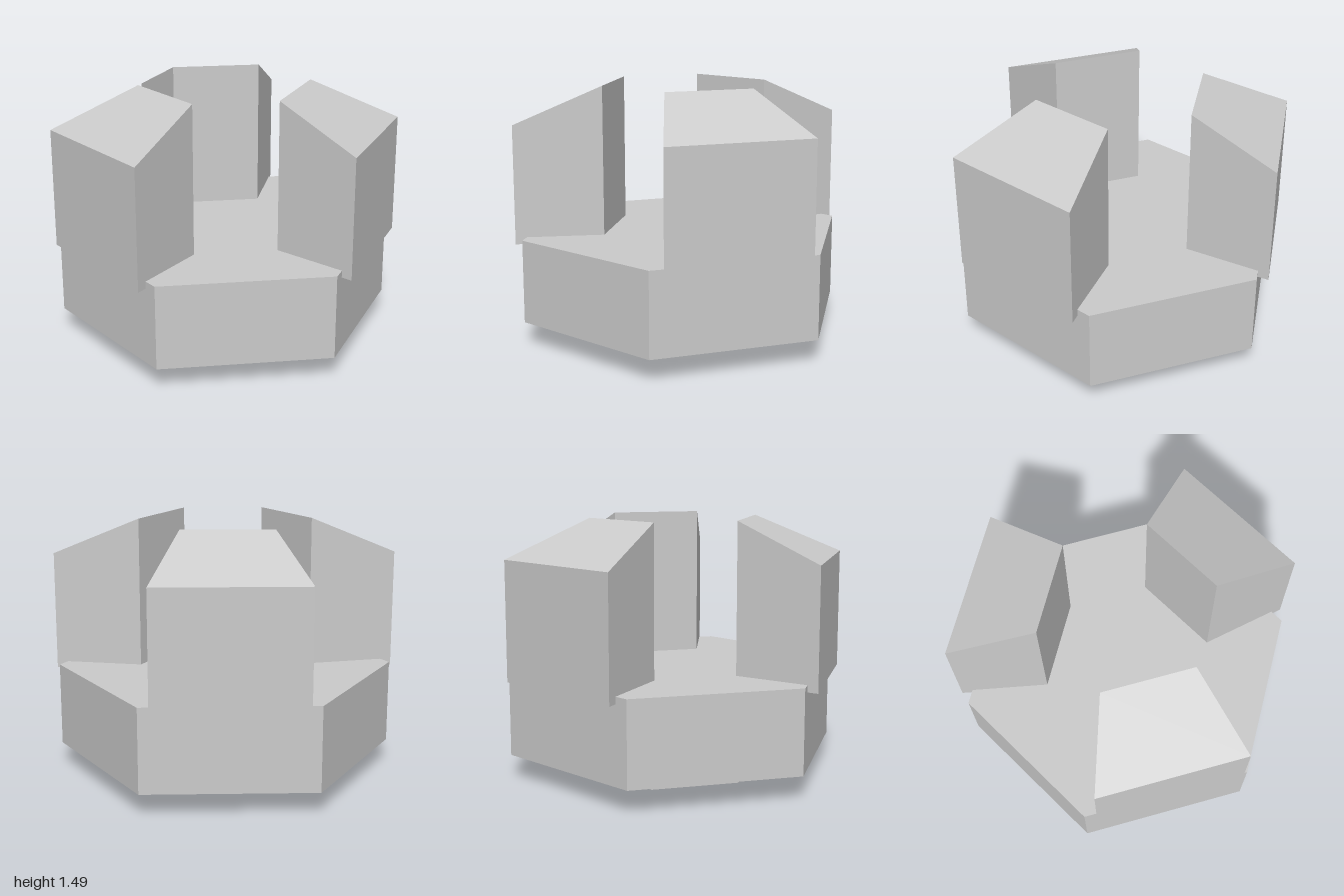
import * as THREE from 'three';

const CENTRE_X = -0.033;

export function createModel() {
  const model = new THREE.Group();
  model.name = 'threeJawChuck';
  const grey = new THREE.MeshStandardMaterial({ color: 0xcccccc, flatShading: true });

  const addMesh = (name, geometry) => {
    const mesh = new THREE.Mesh(geometry, grey);
    mesh.name = name;
    mesh.position.x = CENTRE_X;
    model.add(mesh);
    return mesh;
  };

  // Hexagonal prism with corners pointing along z
  const hexPrism = (radius, bottom, top) =>
    new THREE.CylinderGeometry(radius, radius, top - bottom, 6).translate(0, (top + bottom) / 2, 0);

  addMesh('foot', hexPrism(0.512, 0, 0.135));
  addMesh('body', hexPrism(0.975, 0.135, 0.62));

  // Jaw: a box narrowed towards the centre, its top sloping down outwards
  const jaw = new THREE.BoxGeometry(1, 1, 1);
  const p = jaw.attributes.position;
  for (let i = 0; i < p.count; i++) {
    const outer = p.getX(i) > 0;
    const top = outer ? 1.27 : 1.485;
    const halfWidth = outer ? 0.425 : 0.26;
    p.setXYZ(i, outer ? 0.906 : 0.423, p.getY(i) > 0 ? top : 0.58, Math.sign(p.getZ(i)) * halfWidth);
  }
  jaw.computeVertexNormals();

  // Three jaws evenly spaced around the body
  ['leftJaw', 'backJaw', 'frontJaw'].forEach((name, i) => {
    addMesh(name, jaw).rotation.y = (i * Math.PI * 2) / 3;
  });

  return model;
}
